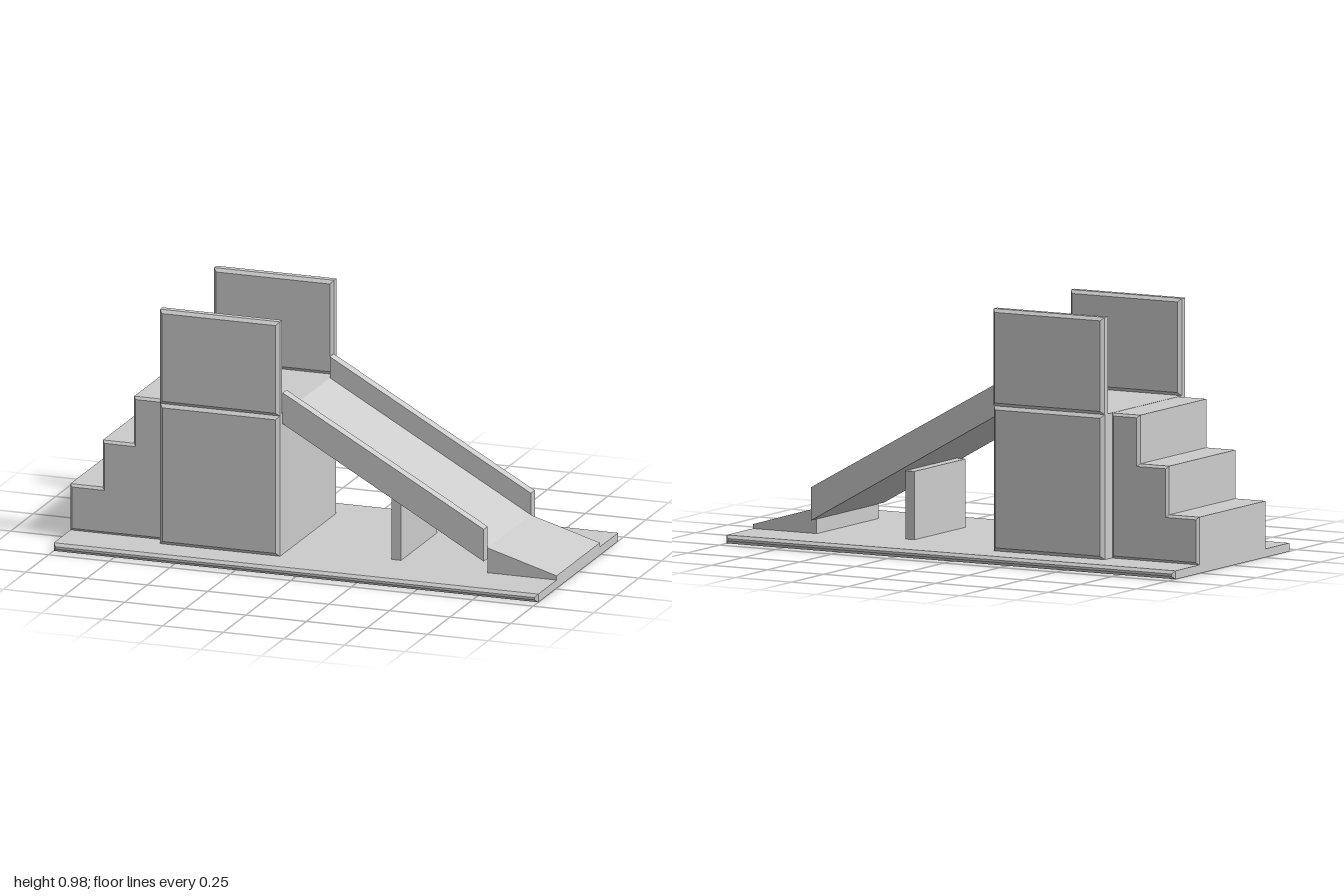
import * as THREE from 'three';

const material = new THREE.MeshStandardMaterial({ color: 0xcccccc, flatShading: true });

// Side profile (x, y) extruded from z0 to z1, with an optional chamfer kept inside the outline.
function prism(name, points, z0, z1, bevel = 0) {
  const shape = new THREE.Shape(points.map(([x, y]) => new THREE.Vector2(x, y)));
  const geometry = new THREE.ExtrudeGeometry(shape, {
    depth: z1 - z0 - 2 * bevel,
    bevelEnabled: bevel > 0,
    bevelSegments: 1,
    bevelSize: bevel,
    bevelThickness: bevel,
    bevelOffset: -bevel,
  });
  geometry.translate(0, 0, z0 + bevel);
  const mesh = new THREE.Mesh(geometry, material);
  mesh.name = name;
  return mesh;
}

function block(name, x0, x1, y0, y1, z0, z1, bevel = 0) {
  return prism(name, [[x0, y0], [x1, y0], [x1, y1], [x0, y1]], z0, z1, bevel);
}

export function createModel() {
  const group = new THREE.Group();
  group.name = 'playSlide';
  const floor = 0.033;

  // Ground mat and tower
  group.add(block('baseMat', -1, 1, 0, floor, -0.455, 0.455, 0.012));
  group.add(block('tower', -0.61, -0.115, floor, 0.6, -0.325, 0.325, 0.014));

  // Three steps up to the tower
  group.add(prism('stairs', [
    [-1, floor], [-0.613, floor], [-0.613, 0.6], [-0.737, 0.6],
    [-0.737, 0.41], [-0.866, 0.41], [-0.866, 0.22], [-1, 0.22],
  ], -0.268, 0.268, 0.01));

  // Slide bed, run-out wedge and support
  const top = -0.115, end = 0.715;
  group.add(prism('slideBed', [[top, 0.56], [end, 0.09], [end, 0.133], [top, 0.6]], -0.24, 0.24));
  group.add(prism('slideRunout', [[end, floor], [1, floor], [1, 0.05], [end, 0.133]], -0.24, 0.24));
  group.add(block('slideSupport', 0.303, 0.343, floor, 0.3, -0.2, 0.2));

  // Guard panels and slide rails on both sides
  for (const side of [1, -1]) {
    const span = (a, b) => (side > 0 ? [a, b] : [-b, -a]);
    const label = side > 0 ? 'Front' : 'Back';
    group.add(block('guardPanel' + label, -0.61, -0.115, 0.6, 0.98, ...span(0.275, 0.327), 0.013));
    group.add(prism('slideRail' + label,
      [[top, 0.56], [end, 0.09], [end, 0.22], [top, 0.685]], ...span(0.24, 0.283)));
  }
  return group;
}
